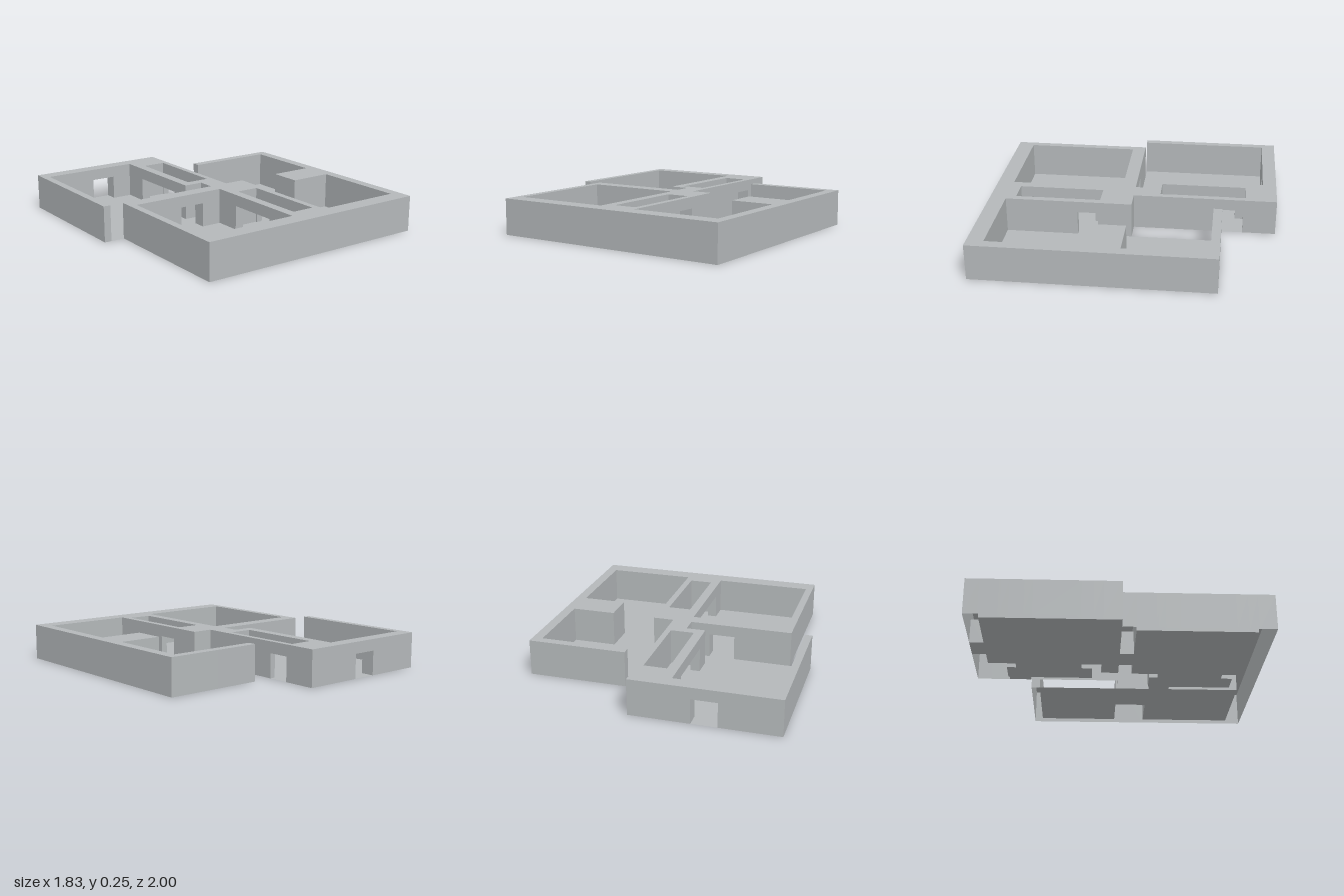
import * as THREE from 'three';

const H = 0.25, DOOR = 0.17; // wall height, opening height

// Plan rectangles [x0, z0, x1, z1]; later groups overwrite earlier ones
const PLAN = [
  ['wall', [
    [-0.92, -1, 0.08, 0], [-0.775, 0, 0.91, 1], [0.225, -0.625, 0.91, 0],
  ]],
  ['floor', [
    [-0.87, -0.905, -0.19, 0], [-0.19, -0.12, -0.055, 0], // back room and its recess
    [-0.725, 0.095, -0.045, 0.885],                       // front room
    [-0.125, -0.78, 0.04, -0.185], [0.02, 0.225, 0.18, 0.82], // closets
    [0.225, -0.565, 0.84, 0.885],                         // long side room
  ]],
  ['wall', [[0.535, 0, 0.84, 0.225]]],                    // solid block in the side room
  ['opening', [
    [-0.51, -1, -0.335, -0.905], [-0.37, 0, -0.19, 0.095],      // room doors
    [0.04, -0.77, 0.08, -0.62], [0.18, 0.235, 0.225, 0.38],     // closet doors
    [-0.19, -0.715, -0.125, -0.26], [-0.045, 0.285, 0.02, 0.74], // wide closet openings
  ]],
];

const rects = PLAN.flatMap(([kind, list]) => list.map((r) => ({ kind, r })));
const gridLines = (a, b) =>
  [...new Set(rects.flatMap(({ r }) => [r[a], r[b]]))].sort((p, q) => p - q);

function kindAt(x, z) {
  let kind = 'empty';
  for (const { kind: k, r } of rects) {
    if (x > r[0] && x < r[2] && z > r[1] && z < r[3]) kind = k;
  }
  return kind;
}

// Lowest solid height of a cell (H means nothing stands there)
const base = (kind) => (kind === 'wall' ? 0 : kind === 'opening' ? DOOR : H);

function quad(out, a, b, c, d) {
  out.push(...a, ...b, ...c, ...a, ...c, ...d);
}

export function createModel() {
  const group = new THREE.Group();
  const xs = gridLines(0, 2), zs = gridLines(1, 3);
  const parts = { floor: [], wallTops: [], wallSides: [], lintelUndersides: [] };
  const cell = (i, j) =>
    i < 0 || j < 0 || i >= xs.length - 1 || j >= zs.length - 1
      ? 'empty'
      : kindAt((xs[i] + xs[i + 1]) / 2, (zs[j] + zs[j + 1]) / 2);

  // Horizontal face of one cell
  const flat = (out, i, j, y, up) => {
    const a = [xs[i], y, zs[j]], b = [xs[i], y, zs[j + 1]];
    const c = [xs[i + 1], y, zs[j + 1]], d = [xs[i + 1], y, zs[j]];
    if (up) quad(out, a, b, c, d);
    else quad(out, a, d, c, b);
  };
  // Upright face over the plan line p-q
  const upright = (p, q, y0, y1) => quad(parts.wallSides,
    [p[0], y0, p[1]], [q[0], y0, q[1]], [q[0], y1, q[1]], [p[0], y1, p[1]]);

  for (let i = 0; i < xs.length - 1; i++) {
    for (let j = 0; j < zs.length - 1; j++) {
      const kind = cell(i, j);
      if (kind === 'floor' || kind === 'opening') flat(parts.floor, i, j, 0, true);
      if (kind === 'opening') flat(parts.lintelUndersides, i, j, DOOR, false);
      if (kind !== 'wall' && kind !== 'opening') continue;
      flat(parts.wallTops, i, j, H, true);
      // Sides only where the neighbouring cell leaves this one exposed
      const A = [xs[i], zs[j]], B = [xs[i], zs[j + 1]];
      const C = [xs[i + 1], zs[j + 1]], D = [xs[i + 1], zs[j]];
      const sides = [[-1, 0, A, B], [0, 1, B, C], [1, 0, C, D], [0, -1, D, A]];
      for (const [di, dj, p, q] of sides) {
        const y0 = base(kind), y1 = base(cell(i + di, j + dj));
        if (y1 > y0) upright(p, q, y0, y1);
      }
    }
  }

  const plaster = new THREE.MeshStandardMaterial({ color: 0xb4b8ba, side: THREE.DoubleSide });
  plaster.name = 'greyPlaster';
  for (const [name, points] of Object.entries(parts)) {
    const geometry = new THREE.BufferGeometry();
    geometry.setAttribute('position', new THREE.Float32BufferAttribute(points, 3));
    geometry.computeVertexNormals();
    const mesh = new THREE.Mesh(geometry, plaster);
    mesh.name = name;
    group.add(mesh);
  }
  group.name = 'floorPlan';
  return group;
}
